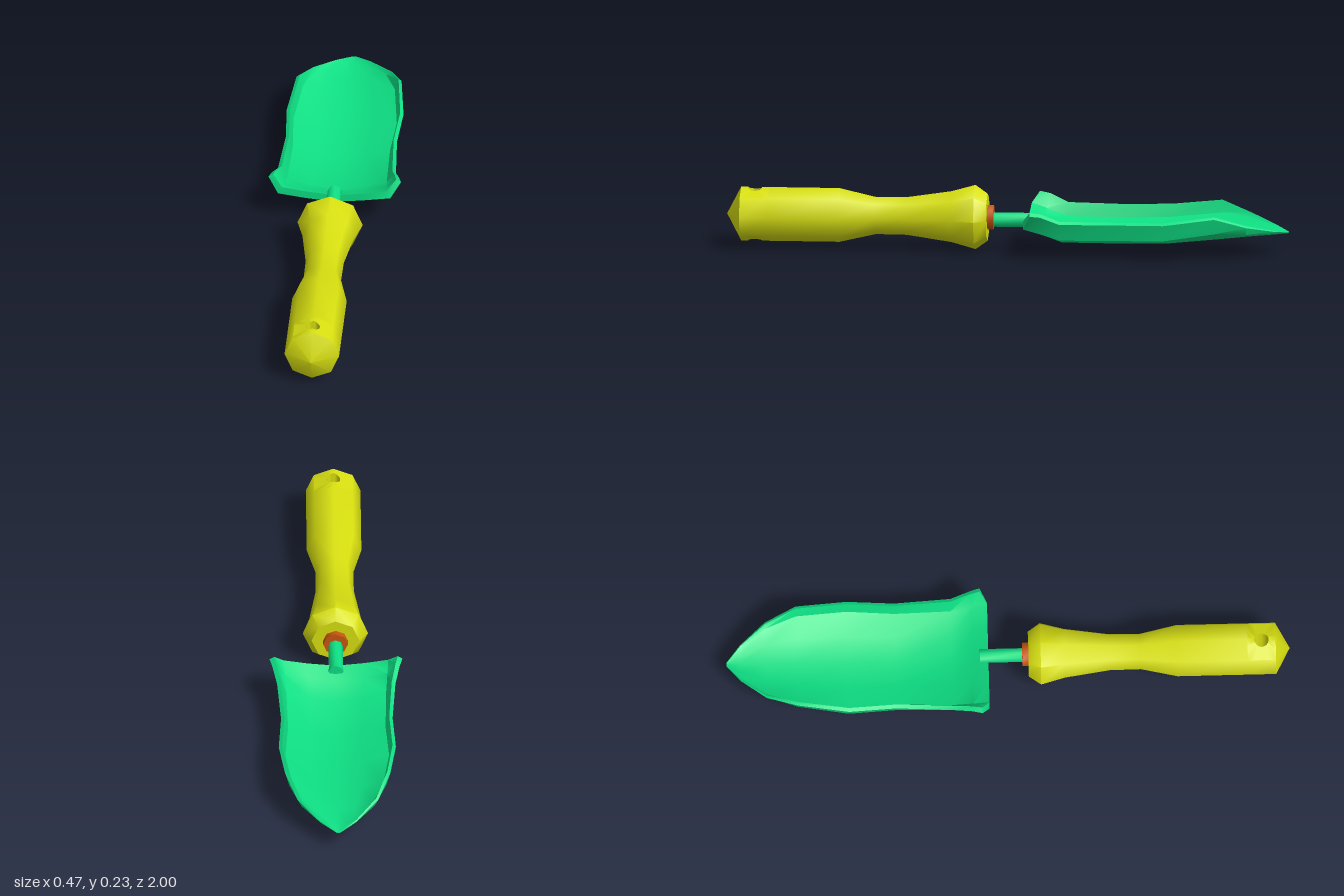
import * as THREE from 'three';
import { mergeGeometries, toCreasedNormals } from 'three/addons/utils/BufferGeometryUtils.js';

const AXIS_Y = 0.116;
const CREASE = THREE.MathUtils.degToRad(50);

function fromTriangles(positions) {
  const g = new THREE.BufferGeometry();
  g.setAttribute('position', new THREE.Float32BufferAttribute(positions, 3));
  return g;
}

function addQuad(out, a, b, c, d) {
  out.push(...a, ...b, ...c, ...a, ...c, ...d);
}

// Eight-sided turned shape along z from [radius, z] pairs
function turned(profile) {
  const g = new THREE.LatheGeometry(profile.map(([r, z]) => new THREE.Vector2(r, z)), 8)
    .rotateX(Math.PI / 2).toNonIndexed();
  g.deleteAttribute('uv');
  g.deleteAttribute('normal');
  return g;
}

// Octagonal length of grip from z0 to z1 with a round vertical hole
function drilledSection(R, z0, z1, holeR) {
  const out = [], n = 24, corner = R * Math.SQRT1_2;
  const mid = (z0 + z1) / 2, half = (z1 - z0) / 2;
  const point = (x, z, side) =>
    [x, side * (R - Math.abs(x) * Math.tan(Math.PI / 8)), mid + z];
  const inner = (i, side) => {
    const a = i / n * Math.PI * 2;
    return point(holeR * Math.cos(a), holeR * Math.sin(a), side);
  };
  const outer = (i, side) => {
    const a = i / n * Math.PI * 2, u = Math.cos(a), v = Math.sin(a);
    const s = 1 / Math.max(Math.abs(u), Math.abs(v));
    return point(corner * u * s, half * v * s, side);
  };
  for (let i = 0; i < n; i++) {
    addQuad(out, inner(i, 1), inner(i + 1, 1), outer(i + 1, 1), outer(i, 1));
    addQuad(out, outer(i, -1), outer(i + 1, -1), inner(i + 1, -1), inner(i, -1));
    addQuad(out, inner(i, -1), inner(i + 1, -1), inner(i + 1, 1), inner(i, 1));
  }
  // Side facets
  for (const sx of [1, -1]) for (const sy of [1, -1]) {
    const q = [[sx * corner, sy * corner, z0], [sx * corner, sy * corner, z1],
      [sx * R, 0, z1], [sx * R, 0, z0]];
    if (sx * sy < 0) q.reverse();
    addQuad(out, ...q);
  }
  return fromTriangles(out);
}

// Dished blade lofted through sections, each a mirrored thick trough
function bladeGeometry() {
  // z, centre y, base x, base y, rim x, rim y, rim z offset, thickness
  const stations = [
    [-0.070, 0.085, 0.200, 0.110, 0.236, 0.174, -0.026, 0.028],
    [-0.125, 0.062, 0.195, 0.094, 0.226, 0.168, -0.008, 0.025],
    [-0.200, 0.029, 0.188, 0.070, 0.210, 0.139, 0, 0.022],
    [-0.400, 0.028, 0.183, 0.070, 0.198, 0.137, 0, 0.020],
    [-0.570, 0.031, 0.194, 0.074, 0.208, 0.139, 0, 0.020],
    [-0.750, 0.049, 0.172, 0.098, 0.187, 0.160, 0, 0.018],
    [-0.860, 0.061, 0.130, 0.090, 0.143, 0.122, 0, 0.014],
    [-0.950, 0.070, 0.060, 0.081, 0.068, 0.095, 0, 0.009],
    [-1.000, 0.075, 0.005, 0.076, 0.008, 0.080, 0, 0.004],
  ];
  const sections = stations.map(([z, cy, bx, by, rx, ry, dz, t]) => {
    const midY = cy + (by - cy) * 0.42;
    const under = [[rx, ry - t * 0.4, z + dz], [bx, by, z], [bx * 0.5, midY, z], [0, cy, z]];
    const over = [[rx - t * 0.6, ry, z + dz], [bx - t * 0.5, by + t, z],
      [bx * 0.5, midY + t, z], [0, cy + t, z]];
    const mirror = (row) => [...row.map(([x, y, w]) => [-x, y, w]), ...row.slice(0, 3).reverse()];
    return [...mirror(under), ...mirror(over).reverse()];
  });
  const out = [], n = sections[0].length;
  for (let k = 0; k < sections.length - 1; k++) {
    const a = sections[k], b = sections[k + 1];
    for (let i = 0; i < n; i++) {
      const j = (i + 1) % n;
      addQuad(out, a[i], b[i], b[j], a[j]);
    }
  }
  // Close the rear edge and the tip
  const rear = sections[0], tip = sections[sections.length - 1];
  for (let i = 0; i < n / 2 - 1; i++) {
    const j = n - 1 - i;
    addQuad(out, rear[i], rear[i + 1], rear[j - 1], rear[j]);
    addQuad(out, tip[j], tip[j - 1], tip[i + 1], tip[i]);
  }
  return fromTriangles(out);
}

export function createModel() {
  const model = new THREE.Group();
  model.name = 'gardenTrowel';
  const green = new THREE.MeshStandardMaterial({ color: 0x0ee084 });
  const yellow = new THREE.MeshStandardMaterial({ color: 0xd8e010 });
  const orange = new THREE.MeshStandardMaterial({ color: 0xc8560f });

  const add = (name, geometry, material, y = 0) => {
    const mesh = new THREE.Mesh(toCreasedNormals(geometry, CREASE), material);
    mesh.name = name;
    mesh.position.y = y;
    model.add(mesh);
  };

  // Handle: waisted grip, drilled hanging hole, pointed end
  const R = 0.097;
  add('handle', mergeGeometries([
    turned([[0, 0.072], [0.085, 0.072], [0.116, 0.115], [0.092, 0.2], [0.068, 0.36],
      [0.067, 0.47], [R, 0.6], [R, 0.85]]),
    drilledSection(R, 0.85, 0.95, 0.025),
    turned([[R, 0.95], [0, 1]]),
  ]), yellow, AXIS_Y);

  // Collar between shaft and handle
  add('collar', turned([[0, 0.05], [0.044, 0.05], [0.044, 0.09], [0, 0.09]]), orange, AXIS_Y);

  // Shaft running into the back of the blade
  add('shaft', turned([[0, -0.1], [0.026, -0.1], [0.026, 0.07], [0, 0.07]]), green, 0.108);

  add('blade', bladeGeometry(), green);
  return model;
}
